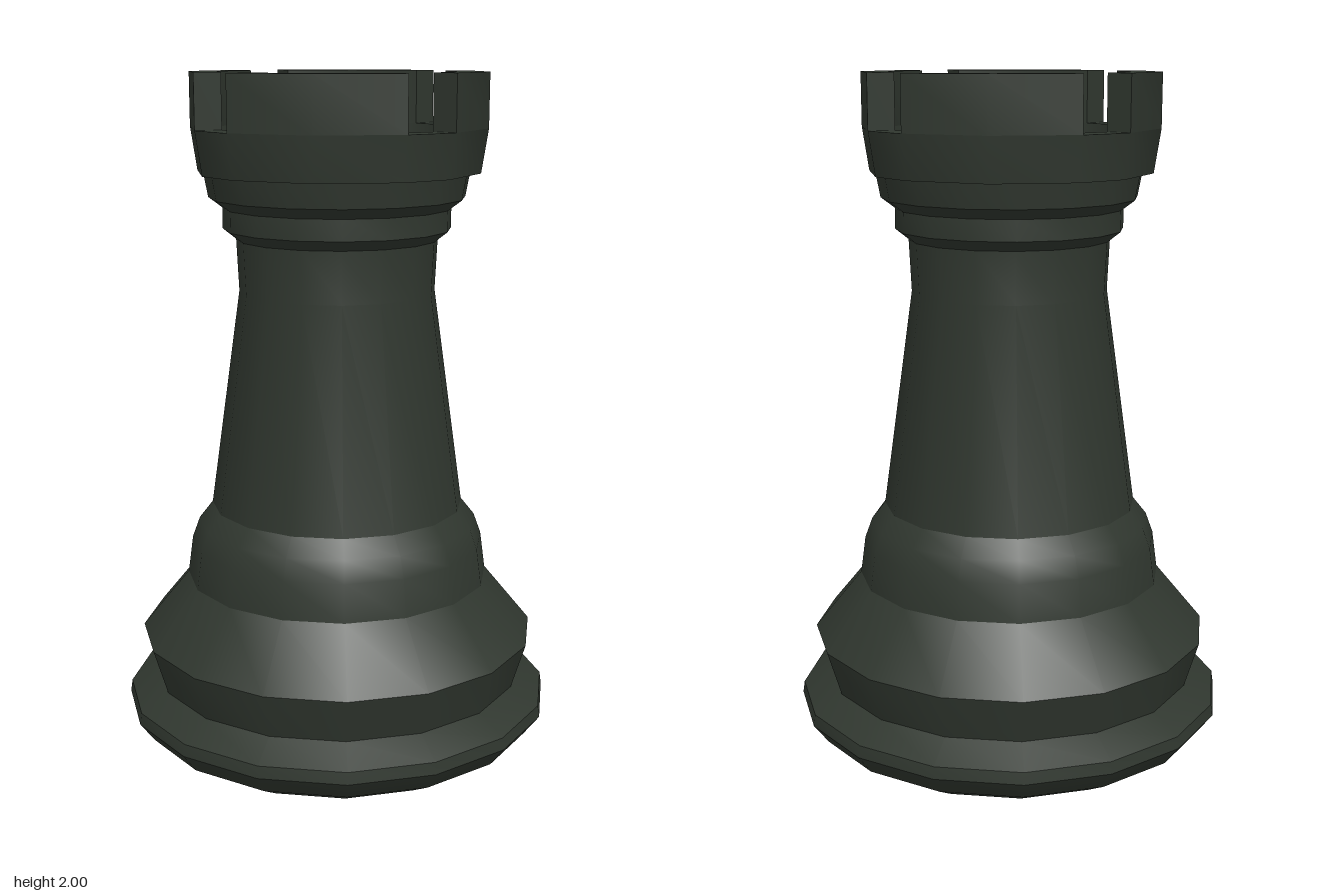
import * as THREE from 'three';
import { toCreasedNormals } from 'three/addons/utils/BufferGeometryUtils.js';

const darkGreen = new THREE.MeshStandardMaterial({ color: 0x30372f });
darkGreen.name = 'darkGreen';
const feltGreen = new THREE.MeshStandardMaterial({ color: 0x0c6a26 });
feltGreen.name = 'feltGreen';

const rad = THREE.MathUtils.degToRad;
const SIDES = 16;

function addPart(parent, name, geometry, material, crease = 30) {
  const mesh = new THREE.Mesh(toCreasedNormals(geometry, rad(crease)), material);
  mesh.name = name;
  parent.add(mesh);
  return mesh;
}

// Turned piece from [radius, height] pairs listed bottom to top
function turned(profile) {
  const points = profile.map(([r, y]) => new THREE.Vector2(r, y));
  return new THREE.LatheGeometry(points, SIDES, Math.PI / SIDES);
}

// Corner points at the given angles in degrees
function corners(radius, angles) {
  return angles.map((a) => new THREE.Vector2(radius * Math.cos(rad(a)), radius * Math.sin(rad(a))));
}

// Flat shape raised from y0 to y1
function raised(shape, y0, y1) {
  const geometry = new THREE.ExtrudeGeometry(shape, { depth: y1 - y0, bevelEnabled: false });
  return geometry.rotateX(-Math.PI / 2).translate(0, y0, 0);
}

export function createModel() {
  const rook = new THREE.Group();
  rook.name = 'chessRook';

  // Felt pad under the foot
  addPart(rook, 'feltPad', turned([[0, 0], [0.45, 0], [0.48, 0.018], [0, 0.018]]), feltGreen);

  // Foot rim
  addPart(rook, 'footRim', turned([
    [0.45, 0.012], [0.51, 0.02], [0.595, 0.07], [0.64, 0.13], [0.635, 0.165], [0.55, 0.215],
  ]), darkGreen);

  // Bulging base and its shoulder
  addPart(rook, 'base', turned([
    [0.55, 0.21], [0.592, 0.35], [0.452, 0.52], [0.437, 0.63], [0.415, 0.69], [0.375, 0.74],
  ]), darkGreen);

  // Tapered tower
  addPart(rook, 'tower', turned([[0.375, 0.74], [0.285, 1.38], [0.292, 1.53]]), darkGreen);

  // Stepped collar
  addPart(rook, 'collar', turned([
    [0.292, 1.53], [0.33, 1.56], [0.33, 1.62], [0.37, 1.65], [0.385, 1.73],
  ]), darkGreen);

  // Crown: a twelve-sided ring that narrows a little at its foot
  const crown = new THREE.Group();
  crown.name = 'crown';
  rook.add(crown);
  const ringAngles = [0, 90, 180, 270].flatMap((a) => [a - 11, a + 11, a + 45]);
  const ringShape = new THREE.Shape(corners(0.43, ringAngles));
  ringShape.holes.push(new THREE.Path(corners(0.35, ringAngles).reverse()));
  const ring = raised(ringShape, 1.72, 1.845);
  const position = ring.attributes.position;
  for (let i = 0; i < position.count; i++) {
    if (position.getY(i) < 1.78) {
      position.setX(i, position.getX(i) * 0.955);
      position.setZ(i, position.getZ(i) * 0.955);
    }
  }
  addPart(crown, 'crownRing', ring, darkGreen, 35);

  // Four merlons between the notches
  const merlonAngles = [11, 45, 79];
  const merlonShape = new THREE.Shape([
    ...corners(0.43, merlonAngles), ...corners(0.35, merlonAngles).reverse(),
  ]);
  for (let i = 0; i < 4; i++) {
    const merlon = addPart(crown, 'merlon' + (i + 1), raised(merlonShape, 1.845, 2), darkGreen, 35);
    merlon.rotation.y = (i * Math.PI) / 2;
  }

  // Floor inside the crown
  const floor = new THREE.CircleGeometry(0.36, 12, rad(15)).rotateX(-Math.PI / 2).translate(0, 1.745, 0);
  addPart(crown, 'crownFloor', floor, darkGreen);

  // Slight twist of the whole piece
  rook.rotation.y = -0.04;
  const model = new THREE.Group();
  model.name = 'model';
  model.add(rook);
  return model;
}
